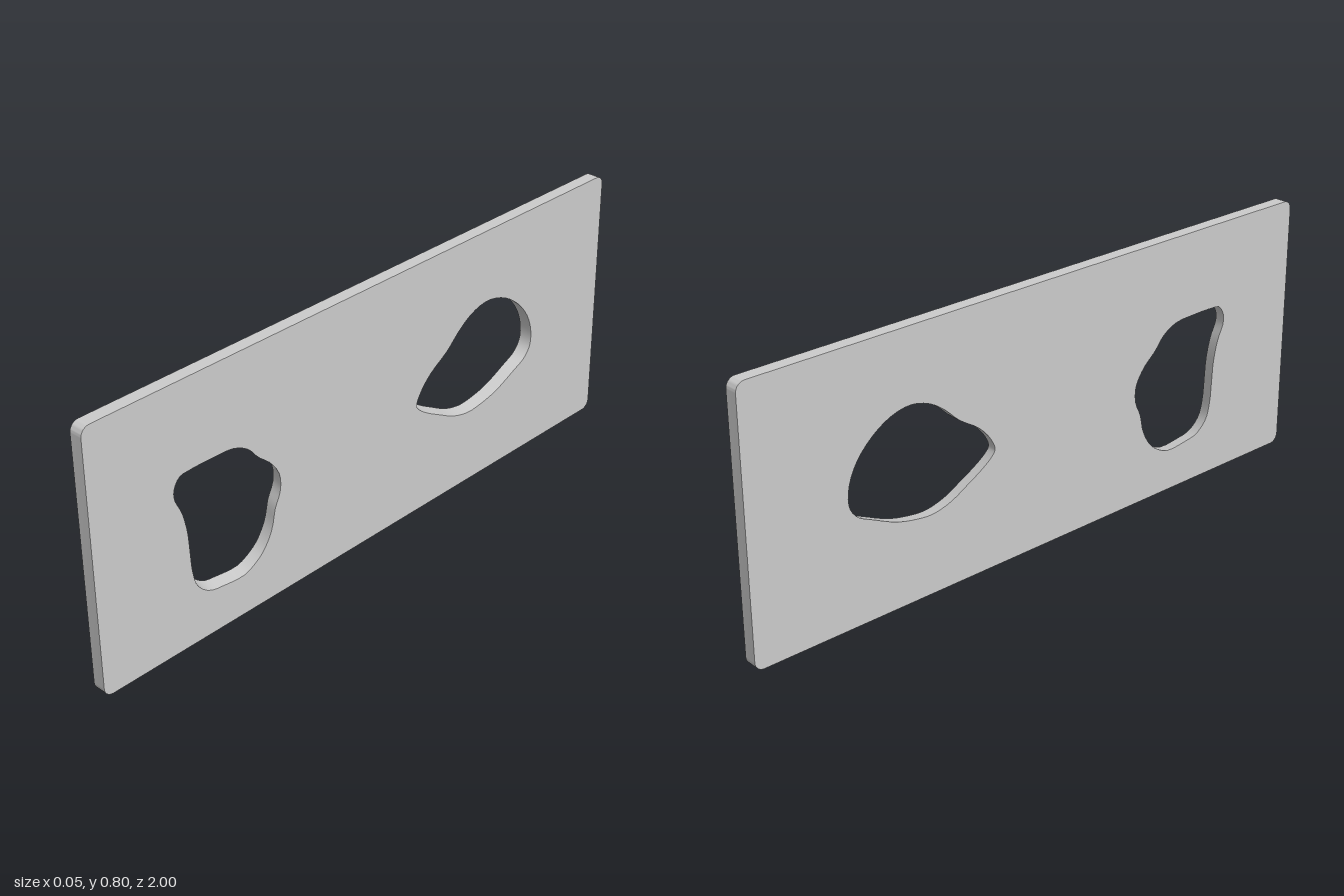
import * as THREE from 'three';
import { toCreasedNormals } from 'three/addons/utils/BufferGeometryUtils.js';

const LENGTH = 2, HEIGHT = 0.8, THICK = 0.04, RADIUS = 0.028;

// hole outlines as (-z, y) points
const tallHole = [
  [-0.73, 0.5], [-0.71, 0.53], [-0.675, 0.535], [-0.595, 0.535], [-0.525, 0.53], [-0.475, 0.505],
  [-0.44, 0.465], [-0.395, 0.425], [-0.365, 0.375], [-0.365, 0.325], [-0.385, 0.28], [-0.4, 0.22],
  [-0.43, 0.17], [-0.46, 0.145], [-0.505, 0.125], [-0.58, 0.13], [-0.63, 0.14], [-0.67, 0.175],
  [-0.685, 0.225], [-0.69, 0.29], [-0.695, 0.36], [-0.71, 0.425], [-0.73, 0.47],
];
const wideHole = [
  [0.177, 0.353], [0.193, 0.39], [0.235, 0.435], [0.305, 0.48], [0.355, 0.525], [0.41, 0.56],
  [0.475, 0.575], [0.545, 0.56], [0.61, 0.52], [0.66, 0.465], [0.685, 0.405], [0.685, 0.35],
  [0.66, 0.315], [0.61, 0.29], [0.53, 0.255], [0.465, 0.24], [0.405, 0.235], [0.34, 0.25],
  [0.28, 0.28], [0.225, 0.31], [0.19, 0.335],
];

// smooth closed path through the outline points
function holePath(points) {
  const curve = new THREE.CatmullRomCurve3(points.map(([u, v]) => new THREE.Vector3(u, v, 0)), true);
  return new THREE.Path(curve.getPoints(64).slice(0, -1).map((p) => new THREE.Vector2(p.x, p.y)));
}

// rectangle with small rounded corners
function plateOutline() {
  const s = new THREE.Shape(), a = LENGTH / 2 - RADIUS, b = HEIGHT - RADIUS;
  s.absarc(a, RADIUS, RADIUS, -Math.PI / 2, 0);
  s.absarc(a, b, RADIUS, 0, Math.PI / 2);
  s.absarc(-a, b, RADIUS, Math.PI / 2, Math.PI);
  s.absarc(-a, RADIUS, RADIUS, Math.PI, Math.PI * 1.5);
  return s;
}

export function createModel() {
  const shape = plateOutline();
  shape.holes.push(holePath(tallHole), holePath(wideHole));
  const geo = new THREE.ExtrudeGeometry(shape, { depth: THICK, bevelEnabled: false, curveSegments: 6 });
  geo.translate(0, 0, -THICK / 2);

  const pos = geo.attributes.position;
  for (let i = 0; i < pos.count; i++) {
    let u = pos.getX(i), v = pos.getY(i), w = pos.getZ(i);
    // hole walls run slightly oblique through the plate
    if (w < 0 && Math.abs(u) < 0.9 && v > 0.06 && v < 0.74) {
      if (u > 0) u = 0.43 + (u - 0.43) * 0.975;
      u += u > 0 ? 0.005 : 0.011;
      v += 0.006;
    }
    // slight lean of the whole plate
    w += 0.0025 * u - 0.0013 * (v - HEIGHT / 2) / (HEIGHT / 2);
    pos.setXYZ(i, u, v, w);
  }
  geo.rotateY(Math.PI / 2);

  const plate = new THREE.Mesh(
    toCreasedNormals(geo, 0.7),
    new THREE.MeshStandardMaterial({ color: 0xcccccc }),
  );
  plate.name = 'plateWithHoles';
  const group = new THREE.Group();
  group.name = 'panel';
  group.add(plate);
  return group;
}
